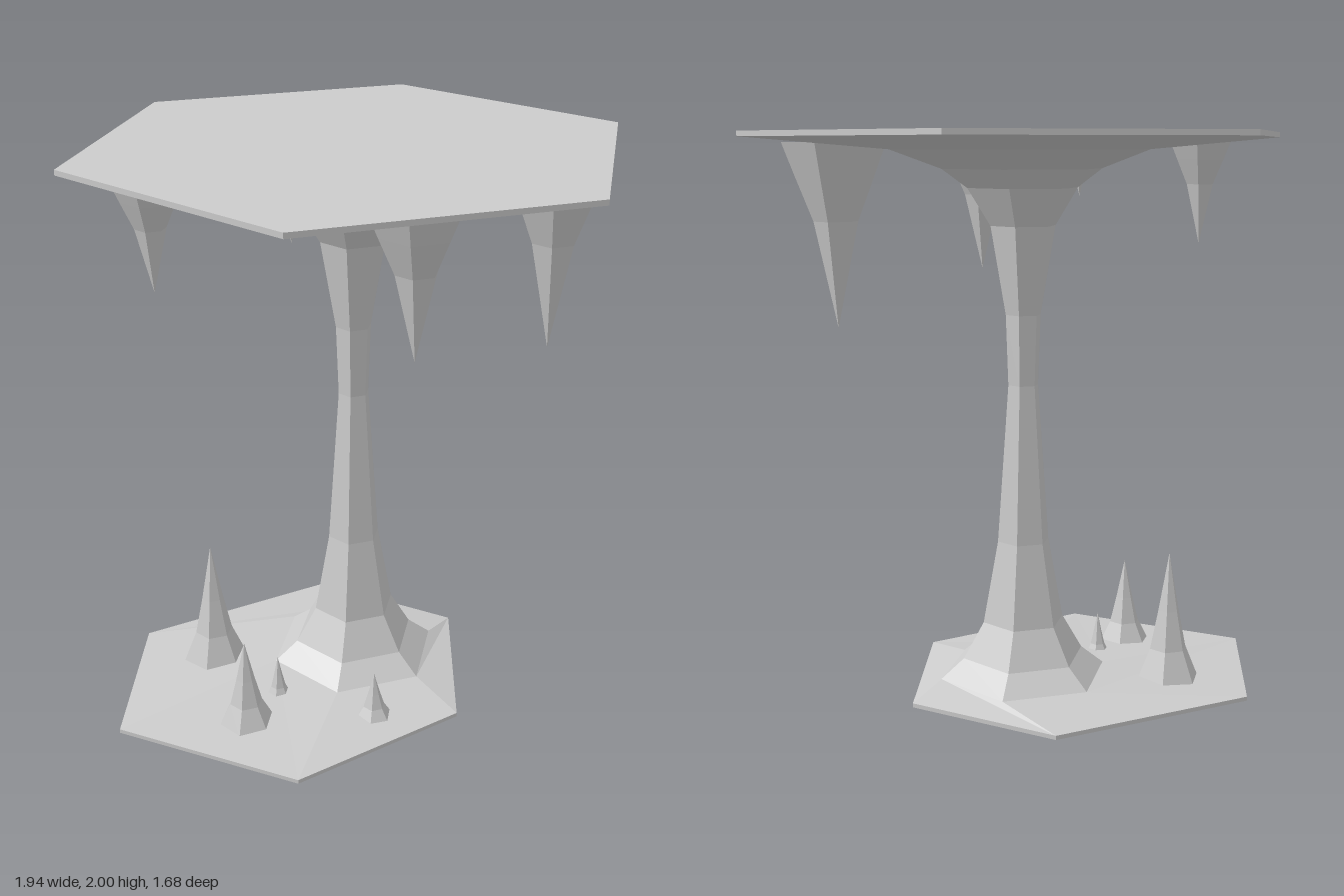
import * as THREE from 'three';

const SIDES = 6;
const material = new THREE.MeshStandardMaterial({ color: 0xcccccc, flatShading: true });

// Six-sided turned shape from [radius, height] pairs listed bottom to top
function hexLathe(profile) {
  const points = profile.map(([r, y]) => new THREE.Vector2(r, y));
  return new THREE.LatheGeometry(points, SIDES, Math.PI / 2);
}

function addMesh(parent, name, geometry) {
  const mesh = new THREE.Mesh(geometry, material);
  mesh.name = name;
  parent.add(mesh);
  return mesh;
}

// Irregular floor slab, its top rising gently to the foot of the column
function floorGeometry() {
  const corners = [
    [0.44, -0.11], [0.04, -0.52], [-0.72, -0.39],
    [-0.94, 0.18], [-0.42, 0.65], [0.23, 0.48],
  ];
  const profile = [[0, 0], [1, 0], [1, 0.015], [0.31, 0.05]];
  const geometry = hexLathe(profile);
  const pos = geometry.attributes.position;
  for (let side = 0; side <= SIDES; side++) {
    const [x, z] = corners[side % SIDES];
    for (const row of [1, 2]) {
      pos.setXYZ(side * profile.length + row, x, profile[row][1], z);
    }
  }
  geometry.computeVertexNormals();
  return geometry;
}

// Stalagmite: concave spike pointing up
function stalagmiteGeometry(radius, height) {
  return hexLathe([[1, 0], [0.58, 0.25], [0.33, 0.55], [0, 1]]
    .map(([r, t]) => [r * radius, t * height]));
}

// Stalactite: concave spike pointing down, origin at its tip
function stalactiteGeometry(radius, height) {
  return hexLathe([[0, 0], [0.43, 0.58], [0.76, 0.82], [1, 1]]
    .map(([r, t]) => [r * radius, t * height]));
}

export function createModel() {
  const model = new THREE.Group();
  model.name = 'caveColumn';

  addMesh(model, 'floor', floorGeometry());

  // Waisted column
  addMesh(model, 'column', hexLathe([
    [0.31, 0.05], [0.225, 0.12], [0.15, 0.25], [0.095, 0.55],
    [0.055, 1.12], [0.064, 1.37], [0.118, 1.68], [0.2, 1.81],
  ]));

  // Flared ceiling slab with a flat top
  addMesh(model, 'ceiling', hexLathe([
    [0.2, 1.81], [0.29, 1.875], [0.47, 1.94], [0.97, 1.982], [0.97, 2], [0, 2],
  ]));

  // x, z, radius, tip height
  const stalagmites = [
    [-0.51, -0.15, 0.12, 0.5],
    [-0.5, 0.28, 0.1, 0.35],
    [-0.35, 0.17, 0.047, 0.185],
    [-0.06, 0.4, 0.067, 0.2],
  ];
  for (const [x, z, radius, tip] of stalagmites) {
    const base = 0.02;
    addMesh(model, 'stalagmite', stalagmiteGeometry(radius, tip - base)).position.set(x, base, z);
  }

  // x, z, radius, tip height, root height
  const stalactites = [
    [-0.7, 0.09, 0.12, 1.6, 1.97],
    [-0.02, 0.63, 0.16, 1.48, 1.975],
    [0.61, 0.27, 0.185, 1.31, 1.965],
    [-0.29, 0.25, 0.05, 1.77, 1.915],
  ];
  for (const [x, z, radius, tip, root] of stalactites) {
    addMesh(model, 'stalactite', stalactiteGeometry(radius, root - tip)).position.set(x, tip, z);
  }

  return model;
}
